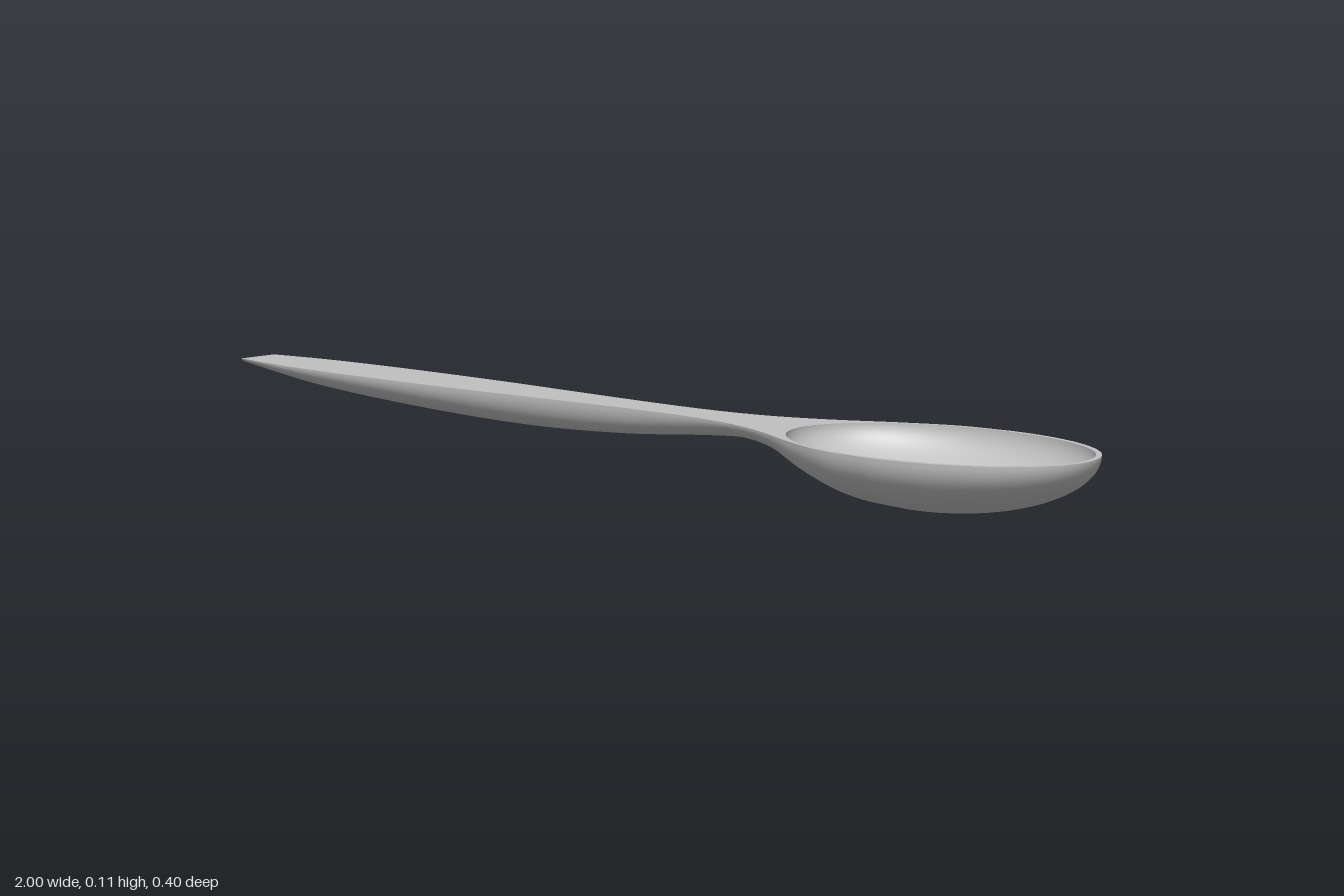
import * as THREE from 'three';

const TOP = 0.11;   // height of the flat upper face
const BOWL_X = 0.7; // centre of the bowl

// stations along the spoon: x, depth below the flat face, half width
const HANDLE = [
  [-1, 0.012, 0.042], [-0.9, 0.025, 0.058], [-0.8, 0.037, 0.066], [-0.65, 0.048, 0.07],
  [-0.4, 0.059, 0.066], [-0.2, 0.061, 0.055], [0, 0.053, 0.044], [0.1, 0.045, 0.042],
  [0.2, 0.036, 0.046], [0.3, 0.031, 0.063], [0.4, 0.044, 0.1], [0.5, 0.08, 0.15],
  [0.6, 0.104, 0.189], [0.7, 0.11, 0.2],
];

function makeStations() {
  const curve = new THREE.CatmullRomCurve3(HANDLE.map((p) => new THREE.Vector3(...p)));
  const list = curve.getPoints(104);
  for (let i = 1; i <= 32; i++) {
    const a = (i / 32) * Math.PI / 2;
    const s = Math.max(Math.cos(a), 0.0001);
    list.push(new THREE.Vector3(BOWL_X + 0.3 * Math.sin(a), 0.11 * s, 0.2 * s));
  }
  return list;
}

// half-ellipse sections lofted along x
function loftUnderside(stations, around = 40) {
  const pos = [], index = [], row = around + 1;
  stations.forEach((s, i) => {
    for (let j = 0; j <= around; j++) {
      const a = (j / around) * Math.PI;
      pos.push(s.x, TOP - s.y * Math.sin(a), s.z * Math.cos(a));
      if (i && j) {
        const d = i * row + j, c = d - 1, b = d - row, e = b - 1;
        index.push(e, b, c, b, d, c);
      }
    }
  });
  const geo = new THREE.BufferGeometry();
  geo.setAttribute('position', new THREE.Float32BufferAttribute(pos, 3));
  geo.setIndex(index);
  geo.computeVertexNormals();
  return geo;
}

export function createModel() {
  const spoon = new THREE.Group();
  spoon.name = 'spoon';
  const metal = new THREE.MeshStandardMaterial({ color: 0xc0c0c0, side: THREE.DoubleSide });
  metal.name = 'grey metal';
  const add = (name, geo) => {
    const mesh = new THREE.Mesh(geo, metal);
    mesh.name = name;
    spoon.add(mesh);
    return mesh;
  };

  const stations = makeStations();
  add('underside', loftUnderside(stations));

  // flat upper face with the bowl opening cut out
  const outline = [
    ...stations.map((s) => new THREE.Vector2(s.x, -s.z)),
    ...stations.slice(0, -1).reverse().map((s) => new THREE.Vector2(s.x, s.z)),
  ];
  const face = new THREE.Shape(outline);
  face.holes.push(new THREE.Path().absellipse(BOWL_X, 0, 0.29, 0.19, 0, Math.PI * 2, true));
  const faceGeo = new THREE.ShapeGeometry(face, 64);
  faceGeo.rotateX(-Math.PI / 2).translate(0, TOP, 0);
  add('upperFace', faceGeo);

  // hollow of the bowl: lower half of an ellipsoid, seen from inside
  const hollow = new THREE.SphereGeometry(1, 64, 24, 0, Math.PI * 2, Math.PI / 2, Math.PI / 2);
  hollow.scale(0.29, 0.1, 0.19).translate(BOWL_X, TOP, 0);
  add('bowlHollow', hollow);

  // small half-ellipse closing the handle end
  const cap = new THREE.CircleGeometry(1, 40, Math.PI, Math.PI);
  cap.scale(stations[0].z, stations[0].y, 1).rotateY(-Math.PI / 2).translate(-1, TOP, 0);
  add('handleEnd', cap);

  return spoon;
}
